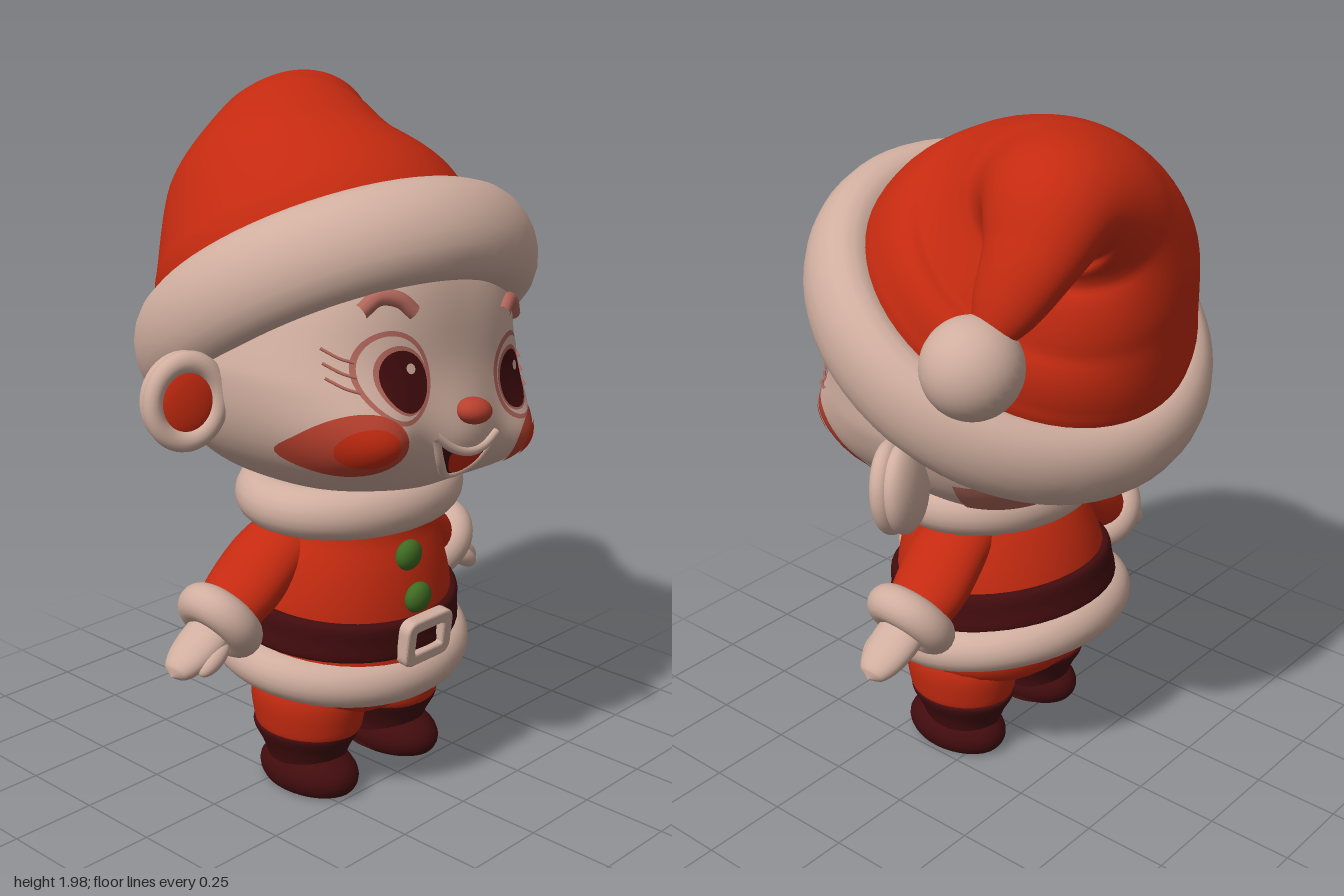
import * as THREE from 'three';
import { mergeVertices } from 'three/addons/utils/BufferGeometryUtils.js';

const mat = (name, color) => new THREE.MeshStandardMaterial({ name, color });
const cream = mat('cream', 0xd0ae9f), red = mat('red', 0xc42a10), maroon = mat('maroon', 0x420c0e);
const green = mat('green', 0x3f6b22), blush = mat('blush', 0xb8402e), rose = mat('rose', 0xb0665a);

function add(parent, name, geo, material, x = 0, y = 0, z = 0) {
  const m = new THREE.Mesh(geo, material);
  m.name = name;
  m.position.set(x, y, z);
  parent.add(m);
  return m;
}
function group(parent, name, x, y, z) {
  const g = new THREE.Group();
  g.name = name;
  g.position.set(x, y, z);
  parent.add(g);
  return g;
}
const ball = (x, y, z) => new THREE.SphereGeometry(1, 32, 20).scale(x, y, z);
const flatRing = (r, t, sx, sy, sz) => new THREE.TorusGeometry(r, t, 20, 64).rotateX(Math.PI / 2).scale(sx, sy, sz);
function lathe(profile, sz) {
  const curve = new THREE.SplineCurve(profile.map(p => new THREE.Vector2(...p)));
  return new THREE.LatheGeometry(curve.getPoints(20), 48).scale(1, 1, sz);
}

// Smooth skin over elliptical sections [x, y, z, radiusA, radiusB] along a curve
function loft(rows, steps, sides) {
  const path = new THREE.CatmullRomCurve3(rows.map(r => new THREE.Vector3(r[0], r[1], r[2])));
  const radii = new THREE.CatmullRomCurve3(rows.map(r => new THREE.Vector3(r[3], r[4], 0)), false, 'catmullrom');
  const pos = [], idx = [], ref = new THREE.Vector3(0, 0, 1);
  for (let i = 0; i <= steps; i++) {
    const c = path.getPoint(i / steps), t = path.getTangent(i / steps), r = radii.getPoint(i / steps);
    const b = ref.clone().cross(t).normalize(), n = t.clone().cross(b);
    for (let j = 0; j < sides; j++) {
      const a = j / sides * Math.PI * 2;
      const p = c.clone().addScaledVector(b, Math.cos(a) * Math.max(r.x, 0.001)).addScaledVector(n, Math.sin(a) * Math.max(r.y, 0.001));
      pos.push(p.x, p.y, p.z);
      if (i < steps) {
        const k = i * sides + j, l = i * sides + (j + 1) % sides;
        idx.push(k, l, k + sides, l, l + sides, k + sides);
      }
    }
  }
  const g = new THREE.BufferGeometry();
  g.setAttribute('position', new THREE.Float32BufferAttribute(pos, 3));
  g.setIndex(idx);
  g.computeVertexNormals();
  return g;
}

// Head surface: rounded box-like ellipsoid with cheek and muzzle bulges
const A = 0.475, B = 0.42, C = 0.43, N = 2.6, CY = 0.14, CZ = 0.03;
const taper = v => 1 - 0.35 * Math.max(0, v - 0.05);
const bell = (u, v, s) => Math.exp(-(u * u + v * v) / (2 * s * s));
const bulge = (u, v, z) => THREE.MathUtils.smoothstep(z, 0, 0.2) *
  (0.13 * bell(Math.abs(u) - 0.31, v + 0.09, 0.1) + 0.1 * bell(u, v + 0.1, 0.12));
function headGeometry(grow, across, down, ...range) {
  const g = new THREE.SphereGeometry(1, across, down, ...range);
  g.deleteAttribute('uv');
  g.deleteAttribute('normal');
  const p = g.attributes.position, d = new THREE.Vector3();
  for (let i = 0; i < p.count; i++) {
    d.fromBufferAttribute(p, i);
    const s = Math.pow(Math.abs(d.x / A) ** N + Math.abs(d.y / B) ** N + Math.abs(d.z / C) ** N, -1 / N) + grow;
    const y = d.y * s + CY, x = d.x * s * taper(y), z = d.z * s;
    p.setXYZ(i, x, y, z + CZ + bulge(x, y, z));
  }
  const m = mergeVertices(g, 1e-5);
  m.computeVertexNormals();
  return m;
}
function onFace(u, v, lift) {
  const k = 1 - Math.abs(u / taper(v) / A) ** N - Math.abs((v - CY) / B) ** N;
  const z = C * Math.pow(Math.max(k, 0), 1 / N);
  const p = new THREE.Vector3(u, v, z + CZ + bulge(u, v, z));
  const out = p.clone().sub(new THREE.Vector3(0, CY, CZ)).normalize();
  return p.addScaledVector(out, lift);
}
// Thin patch laid on the face; rule maps the unit disc to face coordinates
function patch(rule, lift) {
  const g = new THREE.RingGeometry(0.001, 1, 40, 8), p = g.attributes.position;
  for (let i = 0; i < p.count; i++) {
    const q = onFace(...rule(p.getX(i), p.getY(i)), lift);
    p.setXYZ(i, q.x, q.y, q.z);
  }
  g.computeVertexNormals();
  return g;
}
const disc = (u, v, ru, rv, lift) => patch((x, y) => [u + x * ru, v + y * rv], lift);
const faceTube = (pts, r, lift) => new THREE.TubeGeometry(
  new THREE.CatmullRomCurve3(pts.map(([u, v]) => onFace(u, v, lift))), 20, r, 10);

function buildHead(root) {
  const head = group(root, 'head', -0.03, 1.15, 0);
  head.rotation.z = -0.17;
  add(head, 'skull', headGeometry(0, 112, 80), cream);
  add(head, 'napeHair', headGeometry(0.006, 64, 10, Math.PI + 0.35, Math.PI - 0.7, 1.95, 0.28), rose);
  add(head, 'nose', ball(0.056, 0.036, 0.045), blush, 0, 0.02, 0.525);

  // Open smile
  const smile = (x, y) => [0.11 * x, -0.105 + 0.055 * x * x + (y > 0 ? 0.015 : 0.055) * y];
  add(head, 'mouth', patch(smile, 0.004), maroon);
  add(head, 'tongue', patch((x, y) => [0.065 * x, -0.125 + 0.03 * x * x + 0.027 * y], 0.008), red);
  add(head, 'upperLip', faceTube([[-0.125, -0.045], [-0.06, -0.078], [0, -0.088], [0.06, -0.078], [0.125, -0.045]], 0.012, 0.004), cream);
  add(head, 'lowerLip', faceTube([[-0.12, -0.055], [-0.07, -0.125], [0, -0.165], [0.07, -0.125], [0.12, -0.055]], 0.012, 0.002), cream);

  for (const s of [-1, 1]) {
    // Eyes, brows and lashes
    add(head, 'eyeRim', disc(s * 0.24, 0.1, 0.108, 0.115, 0.003), rose);
    add(head, 'eyeball', disc(s * 0.24, 0.1, 0.095, 0.102, 0.006), cream);
    add(head, 'irisRim', disc(s * 0.222, 0.095, 0.078, 0.084, 0.009), rose);
    add(head, 'iris', disc(s * 0.218, 0.093, 0.069, 0.075, 0.012), maroon);
    add(head, 'eyeGlint', disc(s * 0.218 + 0.02, 0.125, 0.013, 0.013, 0.015), cream);
    add(head, 'eyebrow', faceTube([[s * 0.185, 0.265], [s * 0.225, 0.293], [s * 0.275, 0.293], [s * 0.315, 0.255]], 0.022, 0), rose);
    for (let i = 0; i < 3; i++) {
      const v = 0.13 - i * 0.035;
      add(head, 'eyelash', faceTube([[s * 0.335, v], [s * 0.36, v + 0.006], [s * 0.39, v + 0.025]], 0.004, 0.012), rose);
    }
    // Rosy cheeks
    add(head, 'cheek', disc(s * 0.322, -0.08, 0.095, 0.09, 0.004), blush);
    add(head, 'cheekCentre', disc(s * 0.318, -0.078, 0.058, 0.055, 0.008), red);
    // Ears
    const ear = group(head, 'ear', s * 0.525, -0.04, -0.02);
    ear.rotation.y = s * 0.4;
    add(ear, 'earShell', ball(0.115, 0.13, 0.055), cream, 0, 0, -0.015);
    add(ear, 'earRim', new THREE.TorusGeometry(0.095, 0.028, 16, 48).scale(0.95, 1.1, 1), cream, 0, 0, 0.02);
    add(ear, 'innerEar', ball(0.08, 0.092, 0.022), red, 0, 0, 0.022);
  }

  // Fur brim, high at the front
  const brim = add(head, 'hatBrim', flatRing(0.48, 0.1, 0.96, 1.4, 1.04), cream, 0, 0.22, -0.01);
  brim.rotation.x = -0.56;
}

function buildHat(root) {
  add(root, 'hat', loft([
    [0, 1.38, -0.03, 0.45, 0.49], [0.02, 1.52, -0.12, 0.44, 0.47], [0.06, 1.66, -0.22, 0.35, 0.38],
    [0.16, 1.78, -0.31, 0.21, 0.26], [0.28, 1.80, -0.36, 0.16, 0.185], [0.38, 1.72, -0.38, 0.105, 0.135],
    [0.46, 1.60, -0.36, 0.07, 0.09], [0.51, 1.52, -0.34, 0.03, 0.04]], 72, 64), red);
  add(root, 'pompom', ball(0.13, 0.13, 0.13), cream, 0.54, 1.47, -0.33);
}

function buildBody(root) {
  const body = group(root, 'body', -0.035, 0, 0);

  // Jacket, belt and hem lean together
  const coat = group(body, 'coat', 0, 0.45, 0.05);
  coat.rotation.x = 0.12;
  add(coat, 'jacket', lathe([[0.001, -0.08], [0.33, -0.07], [0.347, 0], [0.328, 0.08], [0.312, 0.17], [0.278, 0.27],
    [0.235, 0.35], [0.2, 0.42], [0.001, 0.44]], 0.94), red);
  add(coat, 'belt', lathe([[0.32, 0.028], [0.35, 0.034], [0.346, 0.08], [0.338, 0.132], [0.3, 0.138]], 0.94), maroon);
  const hem = add(coat, 'hemFur', flatRing(0.335, 0.066, 1, 1, 0.91), cream, 0, -0.035, 0);
  hem.rotation.x = 0.04;
  add(coat, 'lowerButton', ball(0.045, 0.045, 0.03), green, -0.025, 0.195, 0.3);
  add(coat, 'upperButton', ball(0.045, 0.045, 0.03), green, -0.025, 0.305, 0.25);
  const rect = (T, w, h, r) => {
    const p = new T();
    p.moveTo(-w + r, -h).lineTo(w - r, -h).quadraticCurveTo(w, -h, w, -h + r).lineTo(w, h - r).quadraticCurveTo(w, h, w - r, h);
    return p.lineTo(-w + r, h).quadraticCurveTo(-w, h, -w, h - r).lineTo(-w, -h + r).quadraticCurveTo(-w, -h, -w + r, -h);
  };
  const frame = rect(THREE.Shape, 0.087, 0.062, 0.03);
  frame.holes.push(rect(THREE.Path, 0.063, 0.04, 0.015));
  add(coat, 'buckle', new THREE.ExtrudeGeometry(frame, { depth: 0.025, bevelSize: 0.008, bevelThickness: 0.008, bevelSegments: 3 }),
    cream, -0.01, 0.08, 0.315);

  // Fur collar
  add(body, 'collar', flatRing(0.27, 0.075, 1.02, 1, 0.87), cream, 0.02, 0.86, 0.07);

  // Trousers
  add(body, 'hips', ball(0.315, 0.14, 0.265), red, 0, 0.34, 0.075);
  for (const s of [-1, 1]) {
    add(body, 'trouserLeg', lathe([[0.1, 0.15], [0.135, 0.175], [0.148, 0.22], [0.152, 0.3], [0.12, 0.38]], 1.15), red, s * 0.163, 0, 0.08);
    // Boots with flat soles
    add(body, 'bootShaft', lathe([[0.1, 0.01], [0.103, 0.08], [0.118, 0.13], [0.14, 0.18], [0.12, 0.192], [0.001, 0.19]], 1.18), maroon, s * 0.168, 0, 0.075);
    const foot = ball(0.113, 0.085, 0.168), p = foot.attributes.position;
    for (let i = 0; i < p.count; i++) p.setY(i, Math.max(p.getY(i), -0.045));
    foot.computeVertexNormals();
    add(body, 'bootFoot', foot, maroon, s * 0.175, 0.045, 0.092);

    // Arms with fur cuffs and mittens
    add(body, 'sleeve', loft([[s * 0.12, 0.77, 0.04, 0.07, 0.1], [s * 0.25, 0.72, 0.03, 0.085, 0.115],
      [s * 0.36, 0.63, 0.02, 0.085, 0.115], [s * 0.45, 0.56, 0.02, 0.075, 0.09]], 24, 32), red);
    const cuff = add(body, 'cuff', new THREE.TorusGeometry(0.082, 0.055, 20, 48).scale(0.95, 1, 1), cream, s * 0.445, 0.565, 0.02);
    cuff.quaternion.setFromUnitVectors(new THREE.Vector3(0, 0, 1), new THREE.Vector3(s * 0.8, -0.6, 0));
    add(body, 'mitten', loft([[s * 0.43, 0.575, 0.02, 0.05, 0.06], [s * 0.5, 0.53, 0.02, 0.05, 0.075],
      [s * 0.57, 0.487, 0.02, 0.042, 0.065], [s * 0.61, 0.463, 0.02, 0.027, 0.04], [s * 0.625, 0.455, 0.02, 0, 0]], 24, 32), cream);
    const thumb = add(body, 'thumb', ball(0.06, 0.028, 0.03), cream, s * 0.525, 0.495, 0.08);
    thumb.rotation.z = -s * 0.6;
  }
}

export function createModel() {
  const root = new THREE.Group();
  root.name = 'festiveElf';
  buildHead(root);
  buildHat(root);
  buildBody(root);
  return root;
}
